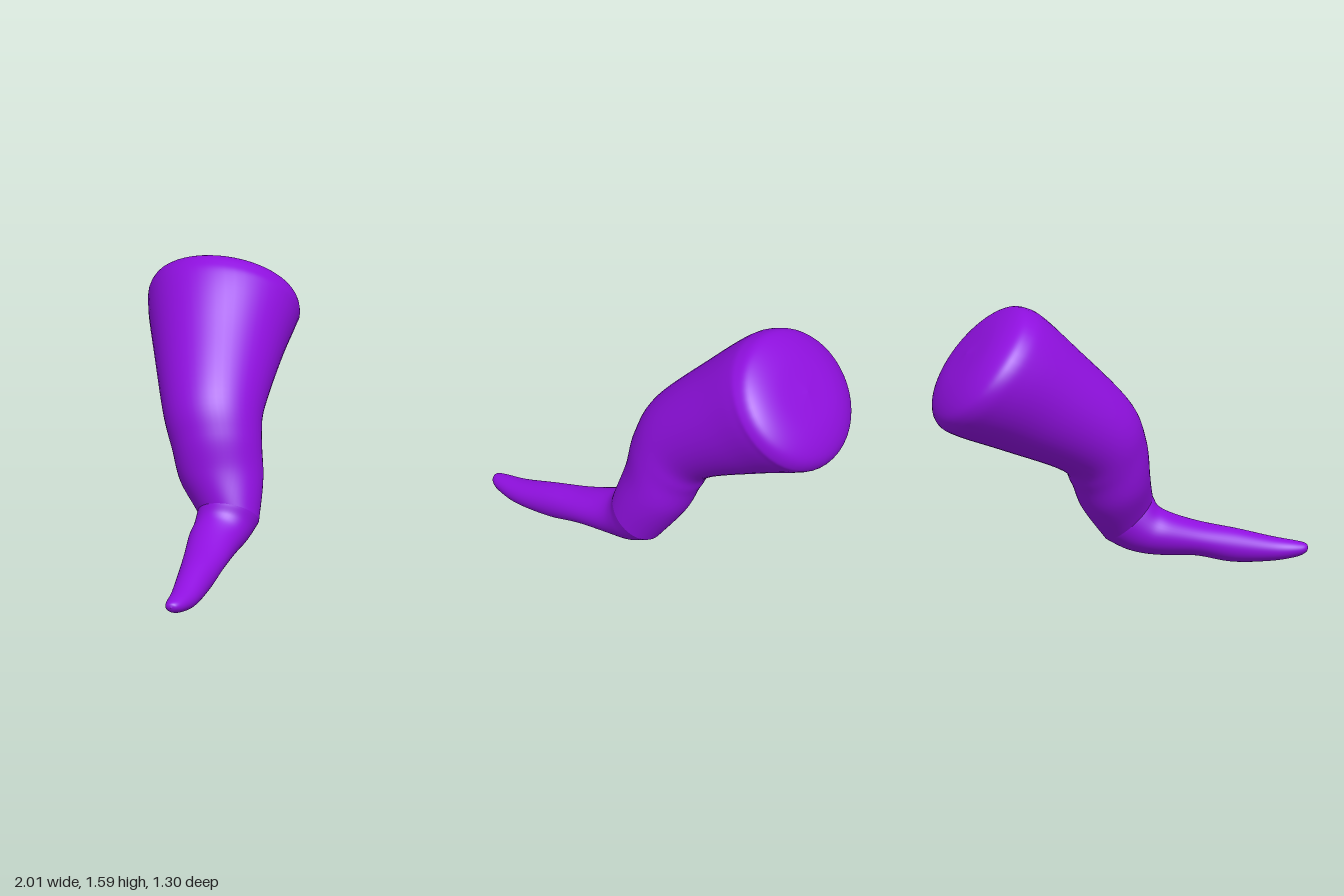
import * as THREE from 'three';

const SIDES = 48;
const STEPS = 8;

// Smooth loft through ellipse rings: [centre x, y, z, up radius, side radius, normal x, y, z]
function loft(rings) {
  const curve = (pick) => new THREE.CatmullRomCurve3(
    rings.map((r) => new THREE.Vector3(...pick(r))), false, 'catmullrom', 0.5);
  const centres = curve((r) => r.slice(0, 3));
  const radii = curve((r) => [r[3], r[4], 0]);
  const normals = curve((r) => r.slice(5));
  const rows = (rings.length - 1) * STEPS;
  const positions = [], index = [];
  for (let i = 0; i <= rows; i++) {
    const c = centres.getPoint(i / rows);
    const s = radii.getPoint(i / rows);
    const n = normals.getPoint(i / rows).normalize();
    const u = new THREE.Vector3(0, 1, 0).addScaledVector(n, -n.y).normalize();
    const v = new THREE.Vector3().crossVectors(n, u);
    for (let j = 0; j < SIDES; j++) {
      const a = (j / SIDES) * Math.PI * 2;
      const p = c.clone().addScaledVector(u, Math.cos(a) * s.x).addScaledVector(v, Math.sin(a) * s.y);
      positions.push(p.x, p.y, p.z);
      if (i < rows) {
        const k = i * SIDES + j, l = i * SIDES + (j + 1) % SIDES;
        index.push(k, l, k + SIDES, l, l + SIDES, k + SIDES);
      }
    }
  }
  const geometry = new THREE.BufferGeometry();
  geometry.setAttribute('position', new THREE.Float32BufferAttribute(positions, 3));
  geometry.setIndex(index);
  geometry.computeVertexNormals();
  return geometry;
}

export function createModel() {
  const group = new THREE.Group();
  const material = new THREE.MeshStandardMaterial({ color: 0x9010e0 });

  // Ring shared by both parts, where the crease runs
  const crease = [-0.03, 0.285, 0.3, 0.18, 0.175, 0.62, 0.74, -0.25];

  // Thick upper part, widening to a gently domed end
  const upper = [
    crease,
    [0.03, 0.47, 0.21, 0.215, 0.235, 0.4, 0.85, -0.34],
    [0.06, 0.65, 0.155, 0.245, 0.255, 0.42, 0.81, -0.4],
    [0.13, 0.82, 0.08, 0.275, 0.285, 0.55, 0.7, -0.45],
    [0.42, 1.06, -0.1, 0.36, 0.365, 0.64, 0.64, -0.42],
    [0.61, 1.2, -0.21, 0.415, 0.42, 0.67, 0.65, -0.36],
    [0.69, 1.26, -0.25, 0.415, 0.43, 0.7, 0.65, -0.3],
    [0.74, 1.31, -0.27, 0.36, 0.38, 0.7, 0.65, -0.3],
    [0.775, 1.34, -0.285, 0.22, 0.24, 0.7, 0.65, -0.3],
    [0.785, 1.35, -0.29, 0, 0, 0.7, 0.65, -0.3],
  ];

  // Slim lower part, from its rounded tip back to the crease
  const lower = [
    [-1, 0.077, 0.605, 0, 0, 0.92, 0.05, -0.38],
    [-0.985, 0.075, 0.602, 0.026, 0.034, 0.92, 0.05, -0.38],
    [-0.93, 0.07, 0.59, 0.046, 0.058, 0.92, 0.05, -0.38],
    [-0.8, 0.073, 0.556, 0.069, 0.08, 0.92, 0.08, -0.38],
    [-0.6, 0.103, 0.481, 0.095, 0.101, 0.91, 0.18, -0.38],
    [-0.4, 0.152, 0.406, 0.097, 0.123, 0.91, 0.15, -0.38],
    [-0.22, 0.19, 0.335, 0.125, 0.145, 0.88, 0.3, -0.37],
    [-0.11, 0.225, 0.312, 0.15, 0.16, 0.76, 0.55, -0.34],
    crease,
  ];

  for (const [name, rings] of [['upperLimb', upper], ['lowerLimb', lower]]) {
    const mesh = new THREE.Mesh(loft(rings), material);
    mesh.name = name;
    group.add(mesh);
  }
  return group;
}
